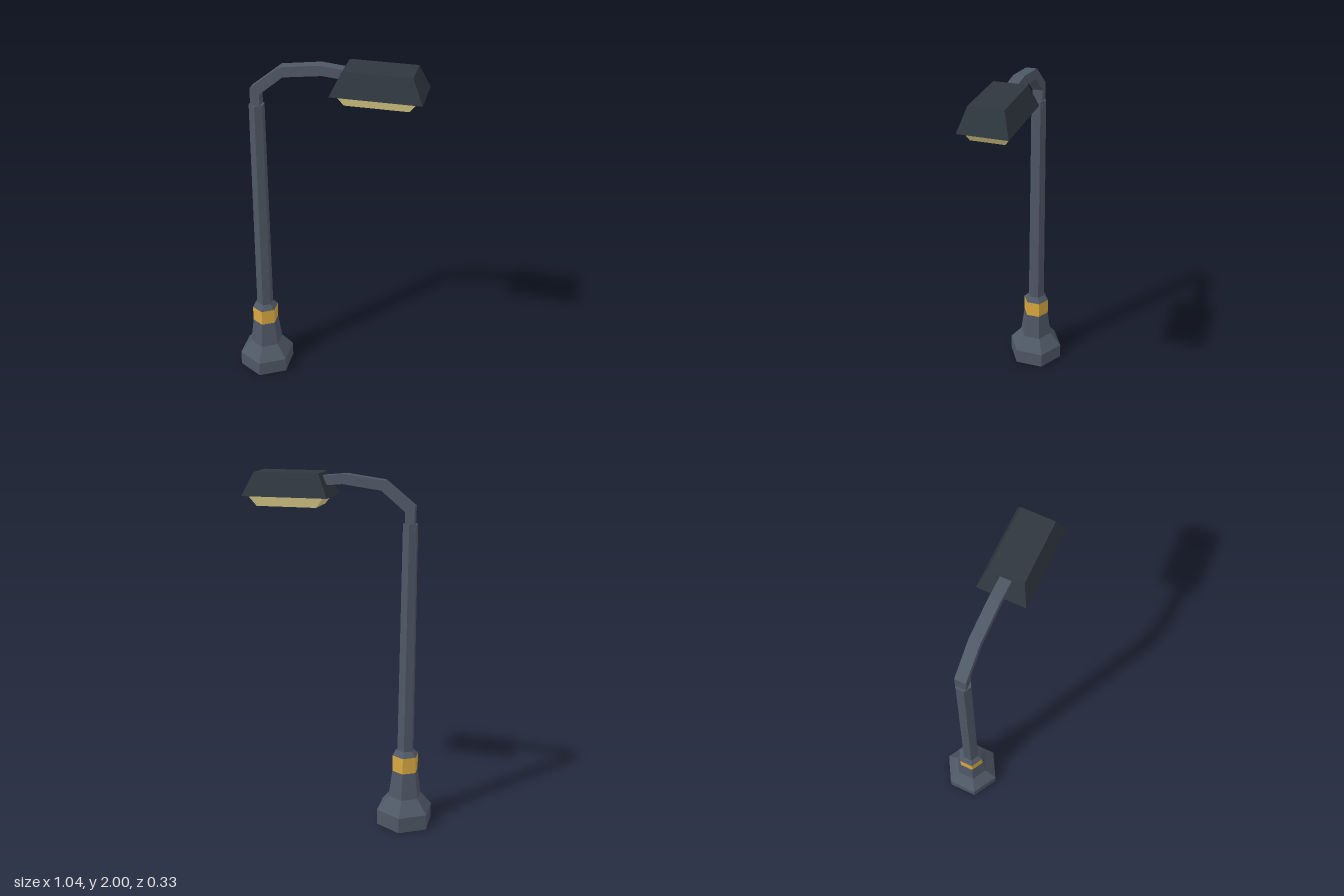
import * as THREE from 'three';

const makeMaterial = (name, color) => {
  const m = new THREE.MeshStandardMaterial({ color, flatShading: true, side: THREE.DoubleSide });
  m.name = name;
  return m;
};

// Six-sided turned section from [radius, height] points
function hexLathe(points) {
  return new THREE.LatheGeometry(points.map(([r, y]) => new THREE.Vector2(r, y)), 6);
}

// Box whose bottom and top rectangles differ; sizes are half widths in x and z
function taperedBox(y0, y1, bottom, top) {
  const g = new THREE.BoxGeometry(2, 2, 2);
  const p = g.attributes.position;
  for (let i = 0; i < p.count; i++) {
    const up = p.getY(i) > 0;
    const [hx, hz] = up ? top : bottom;
    p.setXYZ(i, p.getX(i) * hx, up ? y1 : y0, p.getZ(i) * hz);
  }
  g.computeVertexNormals();
  return g;
}

export function createModel() {
  const metal = makeMaterial('slate metal', 0x4f5866);
  const dark = makeMaterial('dark metal', 0x2f373f);
  const brass = makeMaterial('brass', 0xd9a941);
  const glow = makeMaterial('pale lamp glass', 0xe8d890);

  const model = new THREE.Group();
  model.name = 'streetLamp';
  const add = (name, geometry, material, x = 0) => {
    const mesh = new THREE.Mesh(geometry, material);
    mesh.name = name;
    mesh.position.x = x;
    model.add(mesh);
    return mesh;
  };
  const poleX = -0.38, lampX = 0.281;

  // Flared foot, hollow underneath
  add('base', hexLathe([[0.166, 0], [0.166, 0.09], [0.098, 0.17], [0.077, 0.325]]), metal, poleX);

  // Brass collar
  add('collar', hexLathe([[0.077, 0.325], [0.077, 0.42]]), brass, poleX);

  // Shoulder and slightly tapering shaft
  add('pole', hexLathe([[0.077, 0.42], [0.049, 0.45], [0.043, 1.74], [0, 1.74]]), metal, poleX);

  // Bent arm of rectangular section: outer edge out, inner edge back
  const armOutline = [
    [-0.406, 1.7], [-0.406, 1.836], [-0.243, 1.967], [-0.03, 1.996], [0.12, 1.982],
    [0.12, 1.93], [-0.015, 1.942], [-0.225, 1.914], [-0.354, 1.806], [-0.354, 1.7],
  ].map(([x, y]) => new THREE.Vector2(x, y));
  const armGeometry = new THREE.ExtrudeGeometry(new THREE.Shape(armOutline), { depth: 0.06, bevelEnabled: false });
  armGeometry.translate(0, 0, -0.03);
  add('arm', armGeometry, metal);

  // Lamp head: hood with the glass below it
  add('hood', taperedBox(1.875, 2, [0.238, 0.132], [0.179, 0.092]), dark, lampX);
  add('lampGlass', taperedBox(1.82, 1.876, [0.167, 0.09], [0.209, 0.108]), glow, lampX);

  return model;
}
